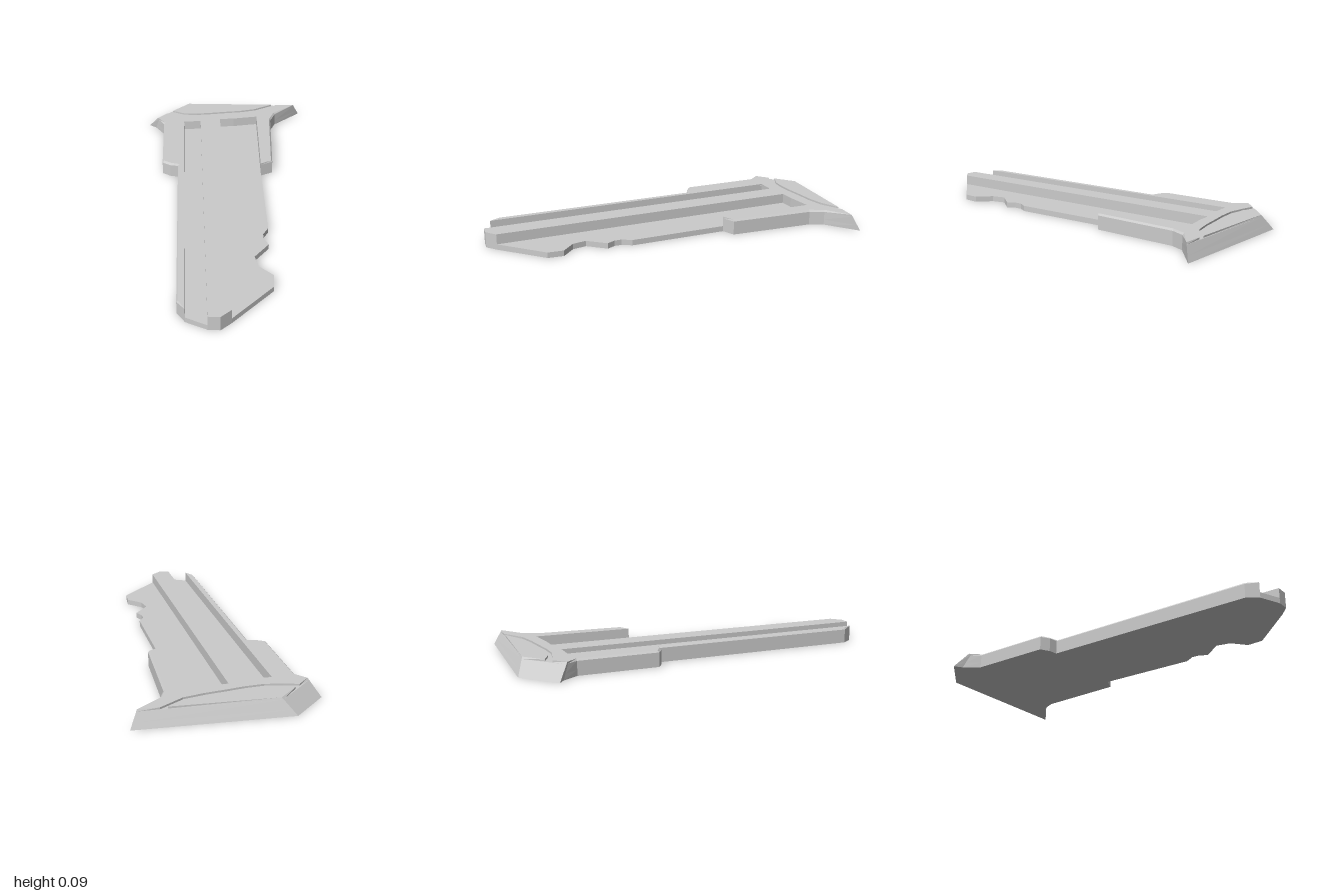
import * as THREE from 'three';

const TOP = 0.085, FLOOR = 0.03, ARC_FLOOR = 0.075;
const material = new THREE.MeshStandardMaterial({ color: 0xcccccc, flatShading: true, side: THREE.DoubleSide });

// Outline points: [x, z, slopeX, slopeZ, chamferX, chamferZ].
// The slope is the drift from the bottom to the top, the chamfer acts on the top edge only.
const backLeft = [-0.30, -1.0, 0.07, 0.04];
const leftSide = [
  [-0.48, -0.845, 0.055, 0.055], [-0.44, -0.815, 0.025, 0.035],
  [-0.385, -0.73, 0, 0, 0.01, 0], [-0.385, -0.30, 0, 0, 0.01, -0.005],
  [-0.34, -0.27, 0, 0, 0.005, -0.01], [-0.295, -0.26, 0, 0, 0.01, -0.005],
  [-0.295, 0.88, 0, 0, 0.008, 0], [-0.255, 0.94],
];
const tip = [[-0.15, 0.995], [-0.09, 1.0], [-0.035, 0.955]];
const rightSide = [
  [0.185, -0.25], [0.255, -0.28, 0, 0, -0.008, 0], [0.28, -0.745, 0, 0, -0.008, 0],
  [0.315, -0.82, 0, 0, -0.008, -0.004], [0.48, -0.95, -0.04, 0.035],
];
// Cut edge of the blade
const bitting = [
  [0.18, 0.745], [0.187, 0.66], [0.115, 0.59], [0.10, 0.515],
  [0.18, 0.42], [0.157, 0.375], [0.157, 0.335], [0.187, 0.285],
];
// Walls of the narrow groove and of the wide, open-sided one
const narrowGroove = [[-0.26, -0.74], [-0.157, -0.74]];
const wideGroove = [[-0.035, -0.76], [0.05, -0.762], [0.195, -0.78]];
// Edges of the shallow curved groove across the head, left to right
const arcFront = [
  [-0.363, -0.846], [-0.29, -0.825], [-0.2, -0.805], [-0.1, -0.808],
  [0, -0.82], [0.1, -0.83], [0.21, -0.85], [0.335, -0.922],
];
const arcBack = [
  [-0.33, -0.874], [-0.26, -0.84], [-0.18, -0.833], [-0.1, -0.837],
  [0, -0.847], [0.1, -0.855], [0.19, -0.873], [0.30, -0.924],
];

// Slab between two heights; outlines run back, left, front, right.
function slab(name, outline, y0, y1) {
  const ring = (y) => outline.map(([x, z, sx = 0, sz = 0, cx = 0, cz = 0]) => {
    const t = y / TOP, c = y === TOP ? 1 : 0;
    return new THREE.Vector3(x + sx * t + cx * c, y, z + sz * t + cz * c);
  });
  const low = ring(y0), high = ring(y1), corners = [];
  const flat = low.map((p) => new THREE.Vector2(p.x, -p.z));
  for (const [a, b, c] of THREE.ShapeUtils.triangulateShape(flat, [])) {
    corners.push(high[a], high[b], high[c]);
    if (y0 === 0) corners.push(low[c], low[b], low[a]);
  }
  low.forEach((p, i) => {
    const j = (i + 1) % low.length;
    corners.push(p, low[j], high[j], p, high[j], high[i]);
  });
  const geometry = new THREE.BufferGeometry().setFromPoints(corners);
  geometry.computeVertexNormals();
  const mesh = new THREE.Mesh(geometry, material);
  mesh.name = name;
  return mesh;
}

export function createModel() {
  const group = new THREE.Group();
  group.name = 'keyBlade';
  const raised = [...leftSide, ...narrowGroove, ...tip, ...wideGroove, ...rightSide];

  // Full-outline plate that forms the groove floors
  group.add(slab('basePlate', [backLeft, ...leftSide, ...tip, ...bitting, ...rightSide], 0, FLOOR));
  // Raised body around the grooves
  group.add(slab('raisedBody', [backLeft, ...raised], FLOOR, ARC_FLOOR));
  // Top skin, split by the curved groove
  group.add(slab('bladeTop', [...raised, ...[...arcFront].reverse()], ARC_FLOOR, TOP));
  group.add(slab('headTop', [backLeft, ...arcBack], ARC_FLOOR, TOP));
  return group;
}
